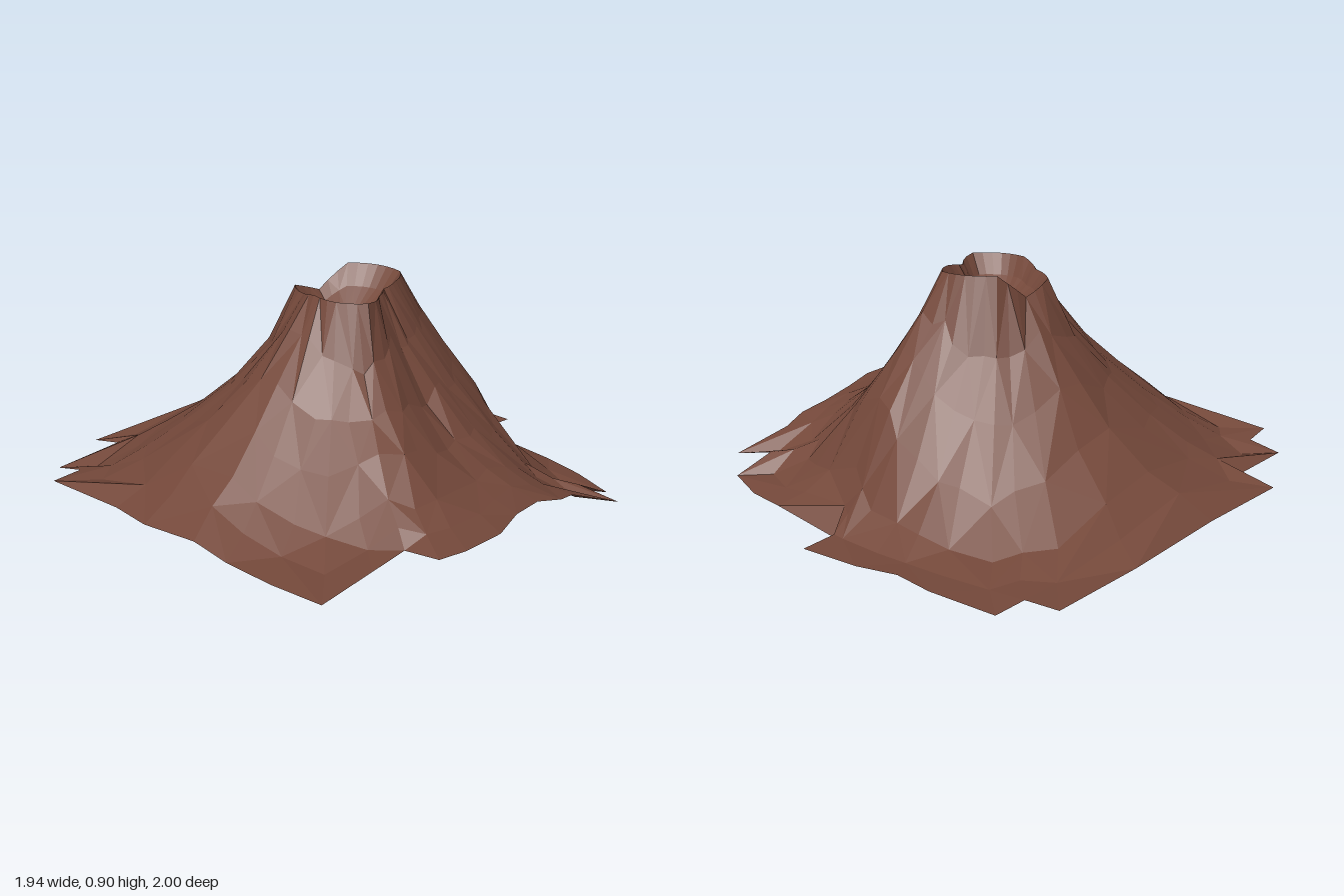
import * as THREE from 'three';

// Ragged outer edge of the ground sheet, clockwise from above: x, z, y
const EDGE = [
  [-0.97, -0.46, 0.17], [-0.84, -0.5, 0.16], [-0.87, -0.62, 0.13], [-0.58, -0.68, 0.13],
  [-0.61, -0.81, 0.1], [-0.2, -0.87, 0.09], [0.25, -0.94, 0.06], [0.65, -1, 0.05],
  [0.68, -0.87, 0.05], [0.81, -0.88, 0.04], [0.87, -0.62, 0.05], [0.87, -0.45, 0.05],
  [0.92, -0.28, 0.04], [0.97, -0.04, 0.04], [0.83, -0.02, 0.05], [0.78, 0.05, 0],
  [0.83, 0.35, 0.05], [0.83, 0.52, 0.05], [0.79, 0.71, 0.06], [0.65, 0.69, 0.13],
  [0.71, 0.84, 0.1], [0.5, 0.8, 0.18], [0.4, 0.84, 0.21], [0.28, 0.84, 0.24],
  [0.13, 0.89, 0.26], [-0.02, 0.97, 0.27], [-0.2, 1, 0.28], [-0.31, 0.99, 0.28],
  [-0.34, 0.85, 0.26], [-0.5, 0.88, 0.25], [-0.74, 0.93, 0.24], [-0.79, 0.72, 0.23],
  [-0.83, 0.52, 0.23], [-0.85, 0.35, 0.24], [-0.9, 0.1, 0.21], [-0.9, -0.1, 0.19],
];
const N = EDGE.length;
const CX = 0.045, CZ = 0.09, TOP = 0.9;

// Uneven crater rim, every 30 degrees from the back right: radius, y
const RIM = [
  [0.2, 0.87], [0.25, 0.86], [0.23, 0.81], [0.23, 0.9], [0.22, 0.9], [0.205, 0.9],
  [0.14, 0.9], [0.1, 0.89], [0.12, 0.88], [0.22, 0.9], [0.22, 0.9], [0.205, 0.9],
];

// Slope profiles: height fraction at each step T from the rim to the foot radius
const T = [0, 0.12, 0.3, 0.5, 0.7, 0.85, 1];
const RIGHT = { foot: 0.965, h: [1, 0.83, 0.57, 0.39, 0.22, 0.09, 0] };
const LEFT = { foot: 0.8, h: [1, 0.84, 0.66, 0.47, 0.17, 0.06, 0] };
const FRONT = { foot: 0.86, h: [1, 0.72, 0.42, 0.22, 0.08, 0.03, 0] };
const BACK = { foot: 1.04, h: [1, 0.72, 0.5, 0.29, 0.15, 0.06, 0] };
const FRONT_RIDGE = [0, 0, 0.07, 0.13, 0.09, 0.05, 0];
const CHANNEL = [0, 0.05, 0.05, 0.02, 0, 0, 0];

let seed = 11;
const jitter = (a) => {
  seed = (seed * 16807) % 2147483647;
  return (seed / 2147483647 - 0.5) * 2 * a;
};
const mix = THREE.MathUtils.lerp;
const bump = (a, centre, width) => Math.exp(-(((a - centre) / width) ** 2));

// Value of a profile at any step t
function sample(profile, t) {
  const k = T.findIndex((v) => v >= t);
  if (k < 0) return profile[T.length - 1];
  return k === 0 ? profile[0] : mix(profile[k - 1], profile[k], (t - T[k - 1]) / (T[k] - T[k - 1]));
}

const rim = EDGE.map((_, i) => {
  const k = (i * RIM.length) / N, k0 = Math.floor(k);
  const [r0, y0] = RIM[k0], [r1, y1] = RIM[(k0 + 1) % RIM.length];
  const r = mix(r0, r1, k - k0);
  const a = THREE.MathUtils.degToRad(-152 + (360 * i) / N);
  return [CX + Math.cos(a) * r, mix(y0, y1, k - k0), CZ + Math.sin(a) * r];
});

// Edge without its notches, so that they stay out of the upper slopes
const smoothEdge = EDGE.map((p, i) => p.map((_, k) =>
  [-2, -1, 0, 1, 2].reduce((sum, o) => sum + EDGE[(i + o + N) % N][k] / 5, 0)));

// One ring of the mountainside: a cone that flattens out towards the corners
function slopeRing(j) {
  const t = T[j], last = j === T.length - 1;
  return EDGE.map((edge, i) => {
    if (last) return [edge[0], edge[2], edge[1]];
    const [ex, ez, ey] = smoothEdge[i].map((v, k) => mix(v, edge[k], t * t));
    const x = mix(rim[i][0], ex, t) + jitter(0.012);
    const z = mix(rim[i][2], ez, t) + jitter(0.012);
    const a = Math.atan2(z - CZ, x - CX), c = Math.cos(a), s = Math.sin(a);
    const sideX = c > 0 ? LEFT : RIGHT, sideZ = s > 0 ? FRONT : BACK;
    const foot = mix(sideX.foot, sideZ.foot, s * s);
    const rimR = Math.hypot(rim[i][0] - CX, rim[i][2] - CZ);
    const step = (Math.hypot(x - CX, z - CZ) - rimR) / (foot - rimR);
    let h = mix(sample(sideX.h, step), sample(sideZ.h, step), s * s);
    // hollows between the sides, except at the broad front left shoulder
    if (c < 0 || s < 0) h *= 1 - 0.12 * Math.sin(2 * a) ** 2;
    // ridge down the front right, channel down the front
    h += sample(FRONT_RIDGE, step) * bump(a, 2.05, 0.3) - sample(CHANNEL, step) * bump(a, 1.36, 0.17);
    return [x, mix(ey, TOP, h) + jitter(0.012) * (1.1 - t), z];
  });
}

// Sheet of triangles between successive rings, inner ring first
function ringSheet(rings) {
  const index = [];
  for (let j = 0; j < rings.length - 1; j++) {
    for (let i = 0; i < N; i++) {
      const a = j * N + i, b = j * N + (i + 1) % N, c = a + N, d = b + N;
      if ((i + j) % 2) index.push(a, b, c, b, d, c);
      else index.push(a, b, d, a, d, c);
    }
  }
  const geo = new THREE.BufferGeometry();
  geo.setAttribute('position', new THREE.Float32BufferAttribute(rings.flat(2), 3));
  geo.setIndex(index);
  geo.computeVertexNormals();
  return geo;
}

export function createModel() {
  const group = new THREE.Group();
  group.name = 'volcano';
  const rock = new THREE.MeshStandardMaterial({ color: 0x74483a, flatShading: true, side: THREE.DoubleSide });
  const add = (name, rings) => {
    const mesh = new THREE.Mesh(ringSheet(rings), rock);
    mesh.name = name;
    group.add(mesh);
  };

  // Mountainside and surrounding ground
  add('mountainside', [rim, ...T.slice(1).map((_, j) => slopeRing(j + 1))]);

  // Shallow crater bowl, from its floor out to the rim
  const floor = [0.01, 0.75, 0.05];
  const bowl = [[0.01, 0], [0.4, 0.12], [0.75, 0.5]].map(([out, up]) =>
    rim.map((p) => p.map((v, k) => mix(floor[k], v, k === 1 ? up : out))));
  add('crater', [...bowl, rim]);

  return group;
}
